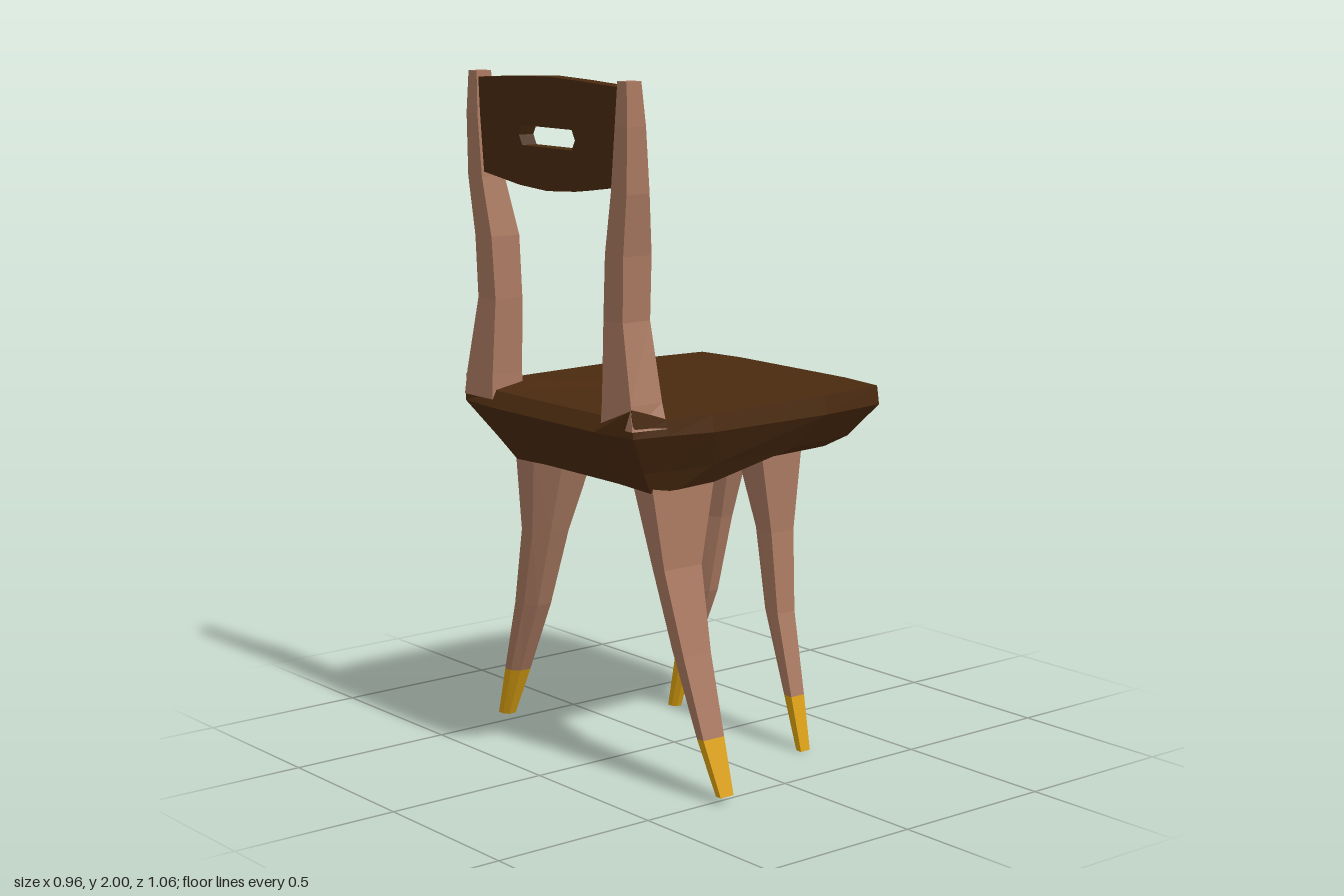
import * as THREE from 'three';

const mat = (color) => new THREE.MeshStandardMaterial({ color, flatShading: true, side: THREE.DoubleSide });

// Closed skin over a stack of equal-length loops, capped by fans at both ends.
function loft(loops, capY = []) {
  const n = loops[0].length, tris = [];
  for (let k = 0; k < loops.length - 1; k++) {
    for (let i = 0; i < n; i++) {
      const j = (i + 1) % n, a = loops[k], b = loops[k + 1];
      tris.push([a[i], a[j], b[j]], [a[i], b[j], b[i]]);
    }
  }
  [loops[0], loops[loops.length - 1]].forEach((loop, end) => {
    const c = [0, 1, 2].map((m) => loop.reduce((s, p) => s + p[m], 0) / n);
    if (capY[end] !== undefined) c[1] = capY[end];
    for (let i = 0; i < n; i++) {
      const p = loop[i], q = loop[(i + 1) % n];
      tris.push(end ? [p, q, c] : [q, p, c]);
    }
  });
  // Turn every face outward, whichever way the loops run
  const v = (p) => new THREE.Vector3(...p);
  const volume = tris.reduce((s, [a, b, c]) => s + v(a).dot(v(b).cross(v(c))), 0);
  if (volume < 0) tris.forEach((t) => t.reverse());
  const geo = new THREE.BufferGeometry();
  geo.setAttribute('position', new THREE.Float32BufferAttribute(tris.flat(2), 3));
  geo.computeVertexNormals();
  return geo;
}

// Half outline [x, y, z] from back to front, mirrored into a full ring
const ring = (half) => [...half, ...[...half].reverse().map(([x, y, z]) => [x, y, -z])];

// Section of a leg: flat outer face, chamfered inner edges
function legSection([y, x0, x1, zIn, zOut], s) {
  const c = (x1 - x0) * 0.25, zm = zIn + (zOut - zIn) * 0.45;
  return [[x0, zOut], [x1, zOut], [x1, zm], [x1 - c, zIn], [x0 + c, zIn], [x0, zm]]
    .map(([x, z]) => [x, y, z * s]);
}

// Section of a back post: plain four-sided
const postSection = ([y, x0, x1, zIn, zOut, zBack = zOut], s) =>
  [[x0, zBack], [x1, zOut], [x1, zIn], [x0, zIn]].map(([x, z]) => [x, y, z * s]);

export function createModel() {
  const model = new THREE.Group();
  const dark = mat(0x4a2a0f), wood = mat(0xa87860), brass = mat(0xdaa012);
  const add = (name, geo, material, parent = model) => {
    const mesh = new THREE.Mesh(geo, material);
    mesh.name = name;
    parent.add(mesh);
  };

  // Seat slab, tapering in towards the underside
  const bottom = ring([[-0.34, 0.865, 0.17], [-0.34, 0.86, 0.315], [-0.25, 0.862, 0.325], [-0.12, 0.867, 0.325],
    [0.1, 0.91, 0.32], [0.32, 0.91, 0.3], [0.35, 0.907, 0.17]]);
  const seatLoops = [
    bottom,
    ring([[-0.39, 0.925, 0.19], [-0.385, 0.925, 0.34], [-0.28, 0.925, 0.355], [-0.16, 0.925, 0.365],
      [0.14, 0.935, 0.36], [0.38, 0.94, 0.335], [0.412, 0.94, 0.19]]),
    ring([[-0.48, 1.04, 0.24], [-0.465, 1.04, 0.395], [-0.36, 1.04, 0.415], [-0.21, 1.035, 0.43],
      [0.21, 1.035, 0.43], [0.442, 1.035, 0.402], [0.478, 1.035, 0.24]]),
    ring([[-0.455, 1.085, 0.25], [-0.465, 1.12, 0.39], [-0.36, 1.085, 0.41], [-0.21, 1.085, 0.422],
      [0.21, 1.09, 0.422], [0.438, 1.09, 0.397], [0.46, 1.09, 0.24]]),
  ];
  add('seat', loft(seatLoops, [0.95, 1.087]), dark);

  // Wooden underframe closing the seat from below
  const inner = bottom.map(([x, y, z]) => [x * 0.72, Math.min(y + 0.012, 0.89), z * 0.72]);
  add('underframe', loft([bottom, inner], [0.94, 0.89]), wood);

  // Legs, rows from foot to seat: y, x min, x max, inner z, outer z
  const legs = {
    backLeg: [[0.02, -0.265, -0.218, 0.492, 0.53], [0.175, -0.28, -0.205, 0.42, 0.473], [0.4, -0.292, -0.193, 0.32, 0.4],
      [0.64, -0.31, -0.175, 0.24, 0.337], [0.862, -0.338, -0.12, 0.168, 0.322], [0.92, -0.338, -0.12, 0.168, 0.322]],
    frontLeg: [[0, 0.23, 0.265, 0.28, 0.312], [0.16, 0.225, 0.275, 0.225, 0.273], [0.4, 0.228, 0.295, 0.13, 0.205],
      [0.64, 0.228, 0.315, 0.08, 0.175], [0.87, 0.19, 0.342, 0.012, 0.175], [0.92, 0.19, 0.35, 0, 0.175]],
  };
  for (const [name, rows] of Object.entries(legs)) {
    for (const s of [1, -1]) {
      const leg = new THREE.Group();
      leg.name = name;
      const loops = rows.map((r) => legSection(r, s));
      add('footTip', loft(loops.slice(0, 2)), brass, leg);
      add('legShaft', loft(loops.slice(1)), wood, leg);
      model.add(leg);
    }
  }

  // Curved back posts: y, x min, x max, inner z, outer z, outer z at the back
  const post = [[1.06, -0.468, -0.36, 0.255, 0.413, 0.395], [1.13, -0.465, -0.36, 0.258, 0.39, 0.385],
    [1.35, -0.455, -0.36, 0.253, 0.338], [1.53, -0.458, -0.36, 0.265, 0.345],
    [1.7, -0.464, -0.385, 0.3, 0.368], [1.88, -0.464, -0.4, 0.318, 0.372], [2.0, -0.46, -0.41, 0.325, 0.365]];
  for (const s of [1, -1]) add('backPost', loft(post.map((r) => postSection(r, s))), wood);

  // Back panel with a hand slot, drawn in (z, y) and extruded along x
  const points = (list) => list.map(([z, y]) => new THREE.Vector2(z, y));
  const panel = new THREE.Shape(points([[-0.305, 1.715], [-0.13, 1.69], [0, 1.682], [0.13, 1.69], [0.305, 1.715],
    [0.33, 1.983], [0.14, 1.993], [0, 1.998], [-0.14, 1.993], [-0.33, 1.983]]));
  panel.holes.push(new THREE.Path(points([[-0.13, 1.83], [-0.115, 1.858], [0.115, 1.858], [0.13, 1.83],
    [0.115, 1.802], [-0.115, 1.802]])));
  const panelGeo = new THREE.ExtrudeGeometry(panel, { depth: 0.05, bevelEnabled: false });
  panelGeo.rotateY(Math.PI / 2).translate(-0.455, 0, 0);
  add('backPanel', panelGeo, dark);

  return model;
}
